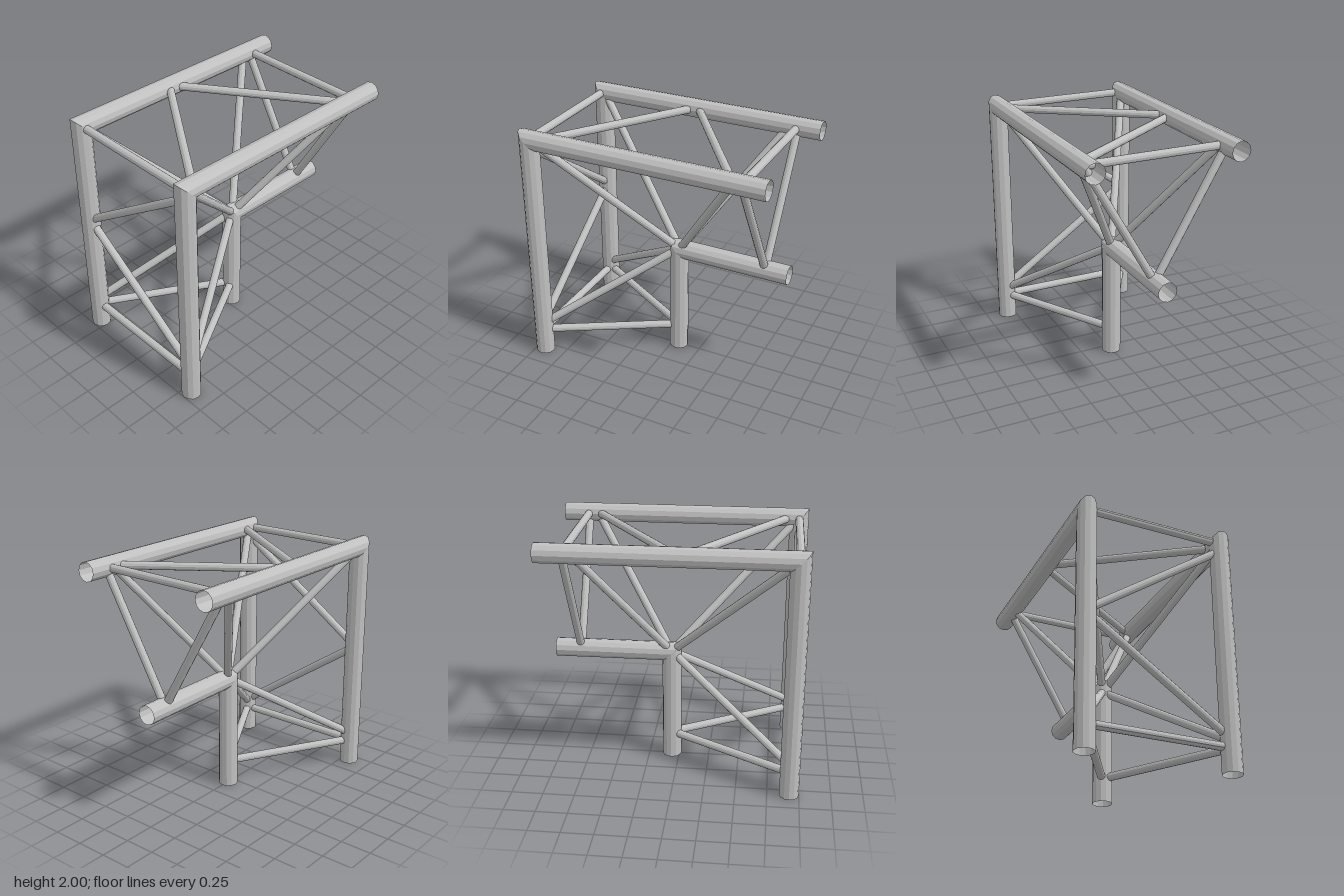
import * as THREE from 'three';

const R = 0.077;         // chord radius
const r = 0.032;         // brace radius
const Z = 0.567;         // outer chord offset
const OX = -0.923, OY = 1.923;   // outer corner axis point
const IX = 0.06, IY = 0.94;      // inner corner axis point

export function createModel() {
  const model = new THREE.Group();
  model.name = 'trussCorner';
  const metal = new THREE.MeshStandardMaterial({ color: 0xc0c0c0, flatShading: true, side: THREE.DoubleSide });
  metal.name = 'aluminium';

  const add = (name, geometry) => {
    const mesh = new THREE.Mesh(geometry, metal);
    mesh.name = name;
    model.add(mesh);
  };

  // Open tube along y from 0 to length, its top cut at 45 degrees
  const mitredTube = (length, slope) => {
    const g = new THREE.CylinderGeometry(R, R, length, 12, 1, true).translate(0, length / 2, 0);
    const p = g.attributes.position;
    for (let i = 0; i < p.count; i++) {
      if (p.getY(i) > length / 2) p.setY(i, length + slope * p.getX(i));
    }
    return g;
  };

  // Bent chord: a post and a beam meeting in a mitre at (x, y)
  const chord = (name, x, y, z) => {
    add(name + 'Post', mitredTube(y, -1).translate(x, 0, z));
    add(name + 'Beam', mitredTube(1 - x, 1).rotateZ(Math.PI / 2).translate(1, y, z));
  };
  chord('leftOuter', OX, OY, Z);
  chord('rightOuter', OX, OY, -Z);
  chord('inner', IX, IY, 0);

  // Thin round brace between two points
  const brace = (name, a, b) => {
    const from = new THREE.Vector3(...a), to = new THREE.Vector3(...b);
    const dir = to.clone().sub(from);
    const g = new THREE.CylinderGeometry(r, r, dir.length(), 12, 1, true);
    g.applyQuaternion(new THREE.Quaternion().setFromUnitVectors(new THREE.Vector3(0, 1, 0), dir.normalize()));
    const mid = from.add(to).multiplyScalar(0.5);
    add(name, g.translate(mid.x, mid.y, mid.z));
  };

  // Side faces, mirrored front to back
  for (const s of [1, -1]) {
    const z = s * Z;
    brace('cornerBrace', [OX, OY, z], [IX, IY, 0]);
    brace('beamDiagonal', [0.735, OY, z], [IX + 0.005, IY, 0]);
    brace('beamEndBrace', [0.8, OY, z], [0.8, IY, 0]);
    brace('postDiagonal', [OX, 0.26, z], [IX, IY, 0]);
    brace('postEndBrace', [OX, 0.203, z], [IX, 0.203, 0]);
  }

  // Top face
  brace('topCornerBar', [OX, OY, Z], [OX, OY, -Z]);
  brace('topEndBar', [0.8, OY, Z], [0.8, OY, -Z]);
  brace('topDiagonal', [-0.855, OY, Z], [-0.07, OY, -Z]);
  brace('topDiagonal', [0.735, OY, Z], [-0.05, OY, -Z]);

  // Upright outer face
  brace('outerEndBar', [OX, 0.203, Z], [OX, 0.203, -Z]);
  brace('outerDiagonal', [OX, 1.855, Z], [OX, 1.07, -Z]);
  brace('outerDiagonal', [OX, 0.275, Z], [OX, 1.06, -Z]);

  return model;
}
